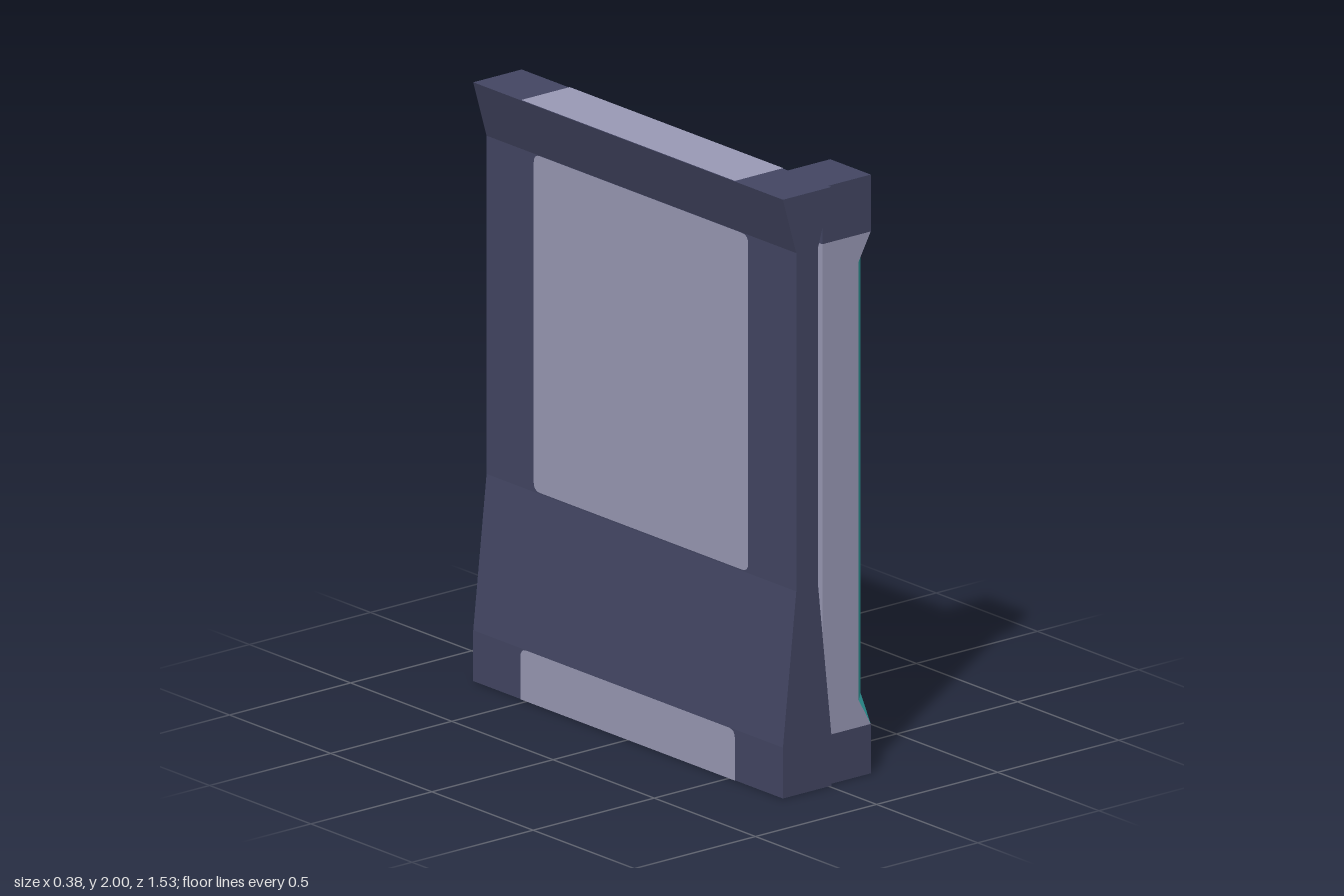
import * as THREE from 'three';

const material = (name, color, side = THREE.FrontSide) => {
  const m = new THREE.MeshStandardMaterial({ color, flatShading: true, side });
  m.name = name;
  return m;
};

export function createModel() {
  const dark = material('dark slate', 0x444764);
  const light = material('pale lavender', 0x9b9bb7);
  const teal = material('teal', 0x3cc4c4);
  const model = new THREE.Group();
  model.name = 'wallPanel';

  const add = (name, geometry, mat, parent = model) => {
    const mesh = new THREE.Mesh(geometry, mat);
    mesh.name = name;
    parent.add(mesh);
    return mesh;
  };

  // Wall body: waisted profile run along z
  const midX = -0.09, depth = 1.53;
  const half = [[0.1, 0], [0.1, 0.17], [0.045, 0.68], [0.045, 1.81], [0.1, 2]];
  const outline = [...half, ...half.slice().reverse().map(([x, y]) => [-x, y])];
  const profile = new THREE.Shape(outline.map(([x, y]) => new THREE.Vector2(x, y)));
  const body = new THREE.ExtrudeGeometry(profile, { depth, bevelEnabled: false });
  body.translate(midX, 0, -depth / 2);
  add('wallBody', body, dark);

  // Panel inlay outline with a corner radius for the top and bottom corners
  const inlay = (w, y0, y1, rTop, rBottom) => {
    const s = new THREE.Shape();
    const a = w / 2;
    s.moveTo(-a + rBottom, y0);
    s.lineTo(a - rBottom, y0);
    s.quadraticCurveTo(a, y0, a, y0 + rBottom);
    s.lineTo(a, y1 - rTop);
    s.quadraticCurveTo(a, y1, a - rTop, y1);
    s.lineTo(-a + rTop, y1);
    s.quadraticCurveTo(-a, y1, -a, y1 - rTop);
    s.lineTo(-a, y0 + rBottom);
    s.quadraticCurveTo(-a, y0, -a + rBottom, y0);
    return new THREE.ShapeGeometry(s, 4);
  };

  // Large and lower inlays on both faces of the wall
  for (const side of [1, -1]) {
    const label = side > 0 ? 'left' : 'right';
    const main = add(label + 'MainInlay', inlay(1.06, 0.685, 1.81, 0.03, 0.03), light);
    const lower = add(label + 'LowerInlay', inlay(1.06, 0, 0.17, 0.03, 0), light);
    main.position.x = midX + side * 0.047;
    lower.position.x = midX + side * 0.102;
    main.rotation.y = lower.rotation.y = side * Math.PI / 2;
  }

  // Pale strip along the top
  const strip = add('topStrip', new THREE.PlaneGeometry(0.2, 1.055), light);
  strip.rotation.x = -Math.PI / 2;
  strip.position.set(midX, 2.002, 0);

  // Corner post with dark end blocks
  const post = new THREE.Group();
  post.name = 'cornerPost';
  model.add(post);
  const x0 = -0.015, x1 = 0.185, z0 = 0.55, z1 = 0.75;
  for (const [name, lo, hi] of [['postFoot', 0, 0.165], ['postHead', 1.81, 2]]) {
    const block = add(name, new THREE.BoxGeometry(x1 - x0, hi - lo, z1 - z0), dark, post);
    block.position.set((x0 + x1) / 2, (lo + hi) / 2, (z0 + z1) / 2);
  }

  // Post shaft: square sections whose outer corner is chamfered by c
  const section = (y, c) => [
    [x0, y, z0], [x1, y, z0], [x1, y, z1 - c], [x1 - c, y, z1], [x0, y, z1],
  ];
  const rows = [section(0.165, 0), section(0.255, 0.05), section(1.72, 0.05), section(1.81, 0)];
  const shaft = [], accent = [];
  for (let r = 0; r < 3; r++) {
    for (let i = 0; i < 5; i++) {
      const j = (i + 1) % 5;
      // Teal on the chamfer (side 2) and on the end bands of the back (side 0)
      const target = i === 2 || (i === 0 && r !== 1) ? accent : shaft;
      const [a, b, c, d] = [rows[r][j], rows[r][i], rows[r + 1][i], rows[r + 1][j]];
      target.push(...a, ...b, ...c, ...a, ...c, ...d);
    }
  }
  const fromTriangles = (points) => {
    const g = new THREE.BufferGeometry();
    g.setAttribute('position', new THREE.Float32BufferAttribute(points, 3));
    g.computeVertexNormals();
    return g;
  };
  add('postShaft', fromTriangles(shaft), light, post);
  add('postAccent', fromTriangles(accent), teal, post);

  return model;
}
